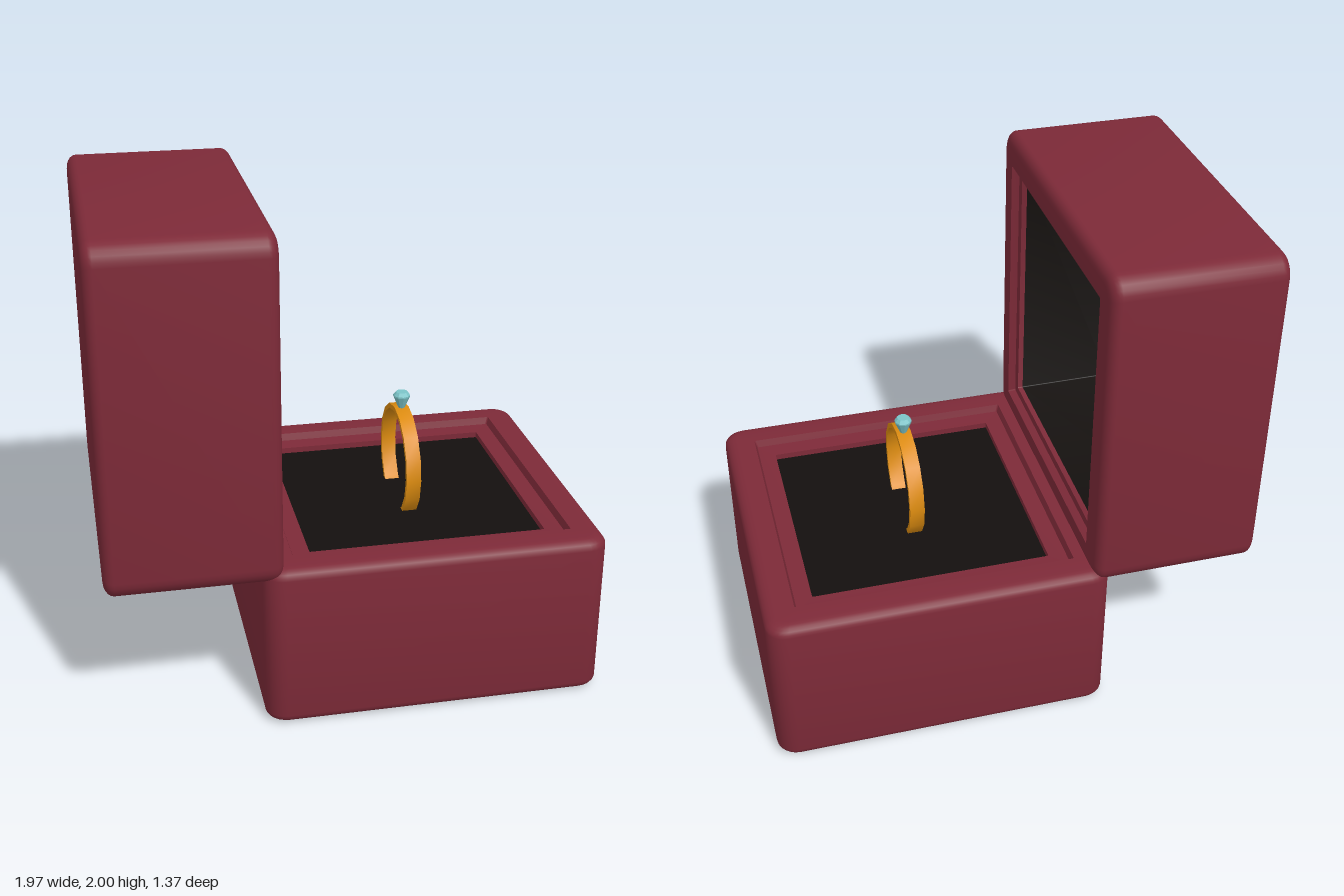
import * as THREE from 'three';
import { toCreasedNormals } from 'three/addons/utils/BufferGeometryUtils.js';

const RED = new THREE.MeshStandardMaterial({ color: 0x7d2a38 });
const BLACK = new THREE.MeshStandardMaterial({ color: 0x14100e });
const GOLD = new THREE.MeshStandardMaterial({ color: 0xdd8c10 });
const GEM = new THREE.MeshStandardMaterial({ color: 0x7cc4c8, flatShading: true });

const STEPS = 6; // segments per rounded corner
const HALF = 0.685; // half width of each box half

// Points around a rounded square of half width h and corner radius r
function roundedSquare(h, r) {
  const pts = [];
  for (let c = 0; c < 4; c++) {
    const mid = Math.PI / 4 + c * Math.PI / 2;
    const cx = Math.sign(Math.cos(mid)) * (h - r);
    const cz = Math.sign(Math.sin(mid)) * (h - r);
    for (let k = 0; k <= STEPS; k++) {
      const a = (c + k / STEPS) * Math.PI / 2;
      pts.push([cx + r * Math.cos(a), cz + r * Math.sin(a)]);
    }
  }
  return pts;
}

// Skin through rounded squares given as [half width, corner radius, y]
function loft(profile) {
  const pos = [], idx = [];
  const n = 4 * (STEPS + 1);
  for (const [h, r, y] of profile)
    for (const [x, z] of roundedSquare(h, r)) pos.push(x, y, z);
  for (let i = 0; i < profile.length - 1; i++)
    for (let j = 0; j < n; j++) {
      const a = i * n + j, b = i * n + (j + 1) % n;
      idx.push(a, a + n, b, b, a + n, b + n);
    }
  const g = new THREE.BufferGeometry();
  g.setAttribute('position', new THREE.Float32BufferAttribute(pos, 3));
  g.setIndex(idx);
  return toCreasedNormals(g, 0.6);
}

function add(parent, name, geometry, material) {
  const mesh = new THREE.Mesh(geometry, material);
  mesh.name = name;
  parent.add(mesh);
  return mesh;
}

// Outer shell with soft edges and a stepped rim around the opening
function shell(height, innerHalf, innerY) {
  const bx = 0.05, by = 0.04, n = 5;
  const profile = [[0.001, 0.0005, 0]];
  for (let i = 0; i <= n; i++) {
    const a = i / n * Math.PI / 2;
    const inset = bx * (1 - Math.sin(a));
    profile.push([HALF - inset, 0.08 - inset * 0.6, by * (1 - Math.cos(a))]);
  }
  for (let i = 0; i <= n; i++) {
    const a = i / n * Math.PI / 2;
    const inset = bx * (1 - Math.cos(a));
    profile.push([HALF - inset, 0.08 - inset * 0.6, height - by * (1 - Math.sin(a))]);
  }
  profile.push(
    [0.56, 0.006, height],
    [0.55, 0.006, height - 0.03],
    [innerHalf, 0.004, height - 0.035],
    [innerHalf, 0.004, innerY]
  );
  return loft(profile);
}

export function createModel() {
  const model = new THREE.Group();
  model.name = 'ringBox';

  // Base with a cushion
  const base = new THREE.Group();
  base.name = 'base';
  base.position.set(0.3, 0.005, 0);
  add(base, 'baseShell', shell(0.685, 0.48, 0.6), RED);
  add(base, 'cushion', new THREE.BoxGeometry(0.96, 0.4, 0.96), BLACK).position.y = 0.425;
  model.add(base);

  // Upright lid, opening towards +x, with a deep dark lining
  const lid = new THREE.Group();
  lid.name = 'lid';
  lid.position.set(-0.985, 1.315, 0);
  lid.rotation.z = -Math.PI / 2;
  add(lid, 'lidShell', shell(0.677, 0.525, 0.62), RED);
  add(lid, 'lidLining', loft([
    [0.525, 0.004, 0.62],
    [0.517, 0.004, 0.22],
    [0.001, 0.0005, 0.22]
  ]), BLACK);
  model.add(lid);

  // Ring standing half sunk in the cushion
  const ring = new THREE.Group();
  ring.name = 'ring';
  ring.position.set(0.3, 0.793, 0);
  const w = 0.03, ro = 0.235, ri = 0.215;
  const section = [[ri, -w], [ro, -w], [ro, w], [ri, w], [ri, -w]]
    .map(([x, y]) => new THREE.Vector2(x, y));
  const band = add(ring, 'band', toCreasedNormals(new THREE.LatheGeometry(section, 16), 0.6), GOLD);
  band.rotation.z = Math.PI / 2;

  // Cut stone on top of the band
  const cut = [[0, 0], [0.014, 0], [0.035, 0.05], [0.035, 0.056], [0.024, 0.07], [0, 0.07]]
    .map(([x, y]) => new THREE.Vector2(x, y));
  add(ring, 'stone', new THREE.LatheGeometry(cut, 10), GEM).position.y = 0.233;
  model.add(ring);

  return model;
}
